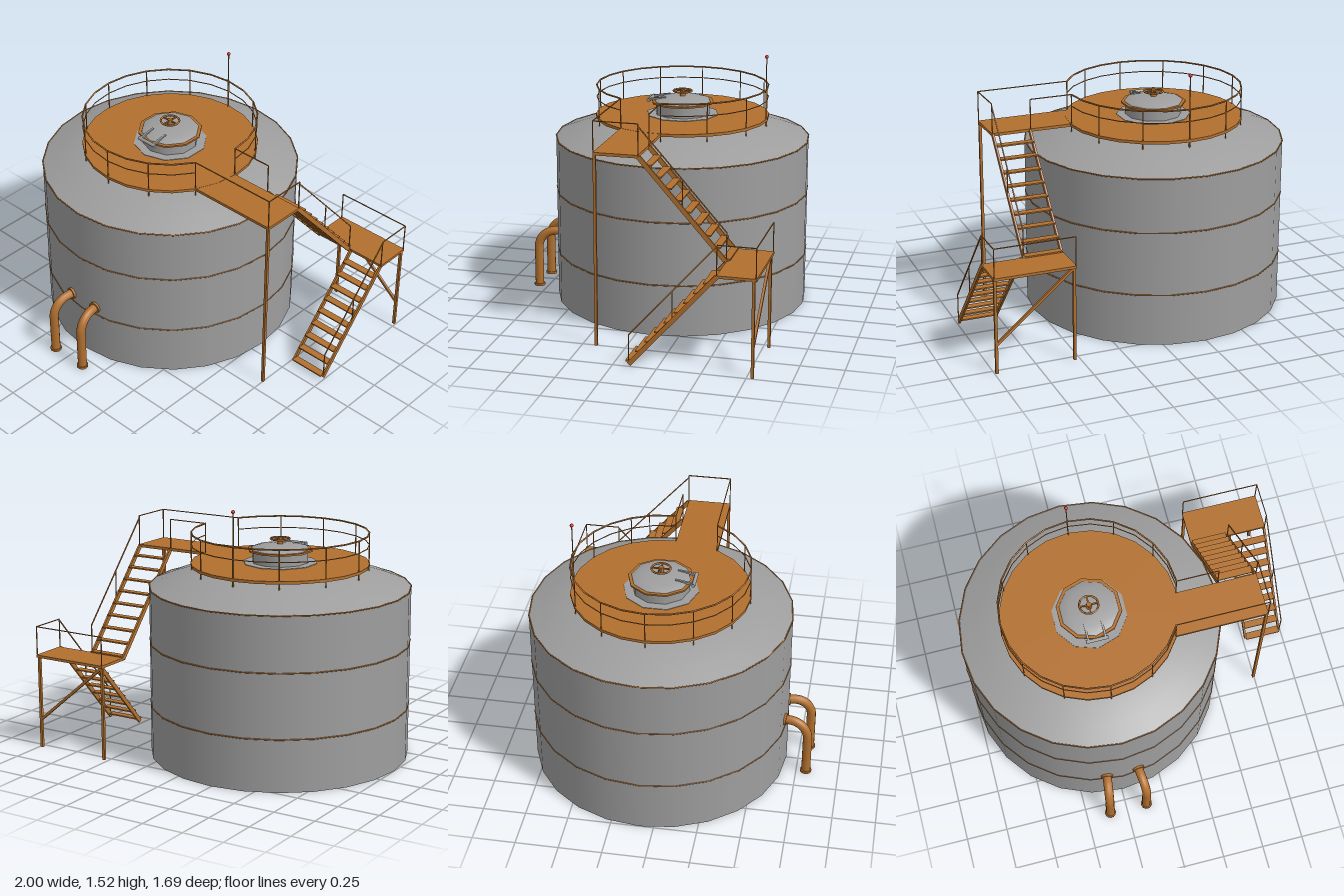
import * as THREE from 'three';

const CX = -0.24, CZ = -0.08; // tank axis
const DECK = 1.135, RAIL = 1.31, LAND = 0.57, LANDRAIL = 0.74;

export function createModel() {
  const model = new THREE.Group();
  model.name = 'storageTank';
  const grey = new THREE.MeshStandardMaterial({ color: 0x9e9e9e, side: THREE.DoubleSide });
  const orange = new THREE.MeshStandardMaterial({ color: 0xb2702e });
  const red = new THREE.MeshStandardMaterial({ color: 0xd02820 });

  const group = (name, x = 0, y = 0, z = 0) => {
    const g = new THREE.Group();
    g.name = name;
    g.position.set(x, y, z);
    model.add(g);
    return g;
  };
  const add = (parent, name, geo, mat, x = 0, y = 0, z = 0) => {
    const m = new THREE.Mesh(geo, mat);
    m.name = name;
    m.position.set(x, y, z);
    parent.add(m);
    return m;
  };
  // rectangular bar from a to b
  const beam = (parent, name, a, b, w, h = w, mat = orange) => {
    const p = new THREE.Vector3(...a), q = new THREE.Vector3(...b);
    const m = new THREE.Mesh(new THREE.BoxGeometry(w, h, p.distanceTo(q)), mat);
    m.name = name;
    m.position.copy(p).lerp(q, 0.5);
    m.lookAt(q);
    parent.add(m);
  };
  const box = (parent, name, x0, x1, y0, y1, z0, z1) =>
    add(parent, name, new THREE.BoxGeometry(x1 - x0, y1 - y0, z1 - z0), orange,
      (x0 + x1) / 2, (y0 + y1) / 2, (z0 + z1) / 2);
  const lathe = (pts, n) => new THREE.LatheGeometry(pts.map(p => new THREE.Vector2(...p)), n);
  const ring = (r, t, n, arc = Math.PI * 2) =>
    new THREE.TorusGeometry(r, t, 6, n, arc).rotateX(Math.PI / 2);

  // Tank shell, open at the bottom, with a shallow domed roof
  const tank = group('tank', CX, 0, CZ);
  add(tank, 'shell', lathe([[0.76, 0], [0.76, 1]], 24), grey);
  add(tank, 'roof', lathe([[0.76, 1], [0.65, 1.043], [0.54, 1.08], [0.43, 1.105],
    [0.3, 1.122], [0.15, 1.128], [0, 1.13]], 24), grey);
  for (const y of [0.305, 0.68, 1]) add(tank, 'band', ring(0.76, 0.004, 24), orange, 0, y, 0);

  // Round roof deck
  const deck = group('roofDeck', CX, 0, CZ);
  add(deck, 'deckPlate', new THREE.CylinderGeometry(0.519, 0.519, 0.017, 24), orange, 0, DECK - 0.0085, 0);

  // Ring railing, open where the walkway joins
  const railing = group('deckRailing', CX, 0, CZ);
  for (const [y, t] of [[RAIL, 0.005], [1.24, 0.003]])
    add(railing, 'ringRail', ring(0.513, t, 22, Math.PI * 11 / 6).rotateY(-Math.PI / 6), orange, 0, y, 0);
  for (let i = 0; i < 12; i++) {
    const a = i * Math.PI / 6, x = 0.513 * Math.cos(a), z = 0.513 * Math.sin(a);
    beam(railing, 'post', [x, 1.085, z], [x, RAIL, z], 0.005);
  }

  // Manhole on the roof with lid, hinge and handwheel
  const hatch = group('hatch', CX, 0, CZ);
  add(hatch, 'pad', new THREE.CylinderGeometry(0.218, 0.218, 0.004, 10), grey, 0, DECK + 0.001, 0);
  add(hatch, 'neck', new THREE.CylinderGeometry(0.165, 0.165, 0.08, 10, 1, true), grey, 0, 1.17, 0);
  add(hatch, 'flange', new THREE.CylinderGeometry(0.19, 0.19, 0.01, 10), orange, 0, 1.209, 0);
  add(hatch, 'lid', lathe([[0.172, 1.212], [0.168, 1.222], [0.12, 1.234], [0.06, 1.241], [0, 1.243]], 10), grey);
  for (const s of [-1, 1])
    beam(hatch, 'hingeArm', [s * 0.05, 1.236, 0.09], [s * 0.05, 1.218, 0.2], 0.012, 0.012, grey);
  add(hatch, 'hingePin', new THREE.CylinderGeometry(0.011, 0.011, 0.13, 8).rotateZ(Math.PI / 2), grey, 0, 1.216, 0.195);
  add(hatch, 'stem', new THREE.CylinderGeometry(0.014, 0.018, 0.045, 10), orange, 0, 1.26, 0);
  add(hatch, 'wheelRim', ring(0.055, 0.006, 16), orange, 0, 1.272, 0);
  beam(hatch, 'spoke', [-0.055, 1.272, 0], [0.055, 1.272, 0], 0.008);
  beam(hatch, 'spoke', [0, 1.272, -0.055], [0, 1.272, 0.055], 0.008);

  // Warning mast at the back of the deck
  const mast = group('mast', CX, 0, CZ - 0.508);
  beam(mast, 'mastPole', [0, 1.085, 0], [0, 1.5, 0], 0.005);
  add(mast, 'mastLamp', new THREE.SphereGeometry(0.011, 10, 8), red, 0, 1.505, 0);

  // Walkway from the deck to the stair head
  const walkway = group('walkway');
  box(walkway, 'walkwayPlate', 0.2, 0.755, DECK - 0.018, DECK - 0.001, -0.08, 0.178);
  beam(walkway, 'column', [0.746, 0, 0.17], [0.746, DECK - 0.01, 0.17], 0.016);
  const rails = [[[0.2, 0.176], [0.752, 0.176]], [[0.752, 0.176], [0.752, -0.08]], [[0.27, -0.08], [0.523, -0.08]]];
  for (const [a, b] of rails) {
    beam(walkway, 'rail', [a[0], RAIL, a[1]], [b[0], RAIL, b[1]], 0.005);
    beam(walkway, 'post', [b[0], DECK - 0.015, b[1]], [b[0], RAIL, b[1]], 0.005);
  }

  // Stair flight between two heights, handrail on its outer side
  const stairs = (name, x0, x1, top, bottom) => {
    const g = group(name), steps = 9, h = 0.172;
    const downhill = Math.sign(bottom[1] - top[1]);
    const at = (x, t, lift = 0) => [x,
      THREE.MathUtils.lerp(bottom[0], top[0], t) + lift, THREE.MathUtils.lerp(bottom[1], top[1], t)];
    for (const x of [x0 + 0.007, x1 - 0.007]) beam(g, 'stringer', at(x, 0), at(x, 1), 0.012, 0.026);
    for (let i = 0; i < steps; i++) {
      const [, y, centre] = at(0, (i + 0.25) / steps), z = centre + downhill * 0.012;
      box(g, 'tread', x0 + 0.01, x1 - 0.01, y - 0.004, y + 0.004, z - 0.022, z + 0.022);
    }
    beam(g, 'handrail', at(x1 - 0.004, 0, h), at(x1 - 0.004, 1, h), 0.006);
    for (const t of [0, 0.5, 1]) beam(g, 'post', at(x1 - 0.004, t), at(x1 - 0.004, t, h), 0.005);
  };
  stairs('upperStairs', 0.52, 0.756, [DECK - 0.01, -0.08], [LAND - 0.008, -0.58]);
  stairs('lowerStairs', 0.76, 0.996, [LAND - 0.008, -0.58], [0.01, -0.09]);

  // Intermediate landing on two legs with a diagonal brace
  const landing = group('landing');
  box(landing, 'landingPlate', 0.52, 0.996, LAND - 0.016, LAND, -0.8, -0.58);
  for (const x of [0.53, 0.986]) beam(landing, 'leg', [x, 0, -0.782], [x, LAND - 0.01, -0.782], 0.016);
  beam(landing, 'brace', [0.53, LAND - 0.015, -0.782], [0.986, 0.17, -0.782], 0.015);
  beam(landing, 'backRail', [0.523, LANDRAIL, -0.795], [0.992, LANDRAIL, -0.795], 0.005);
  beam(landing, 'sideRail', [0.992, LANDRAIL, -0.795], [0.992, LANDRAIL, -0.58], 0.005);
  for (const x of [0.523, 0.992]) beam(landing, 'post', [x, LAND - 0.01, -0.795], [x, LANDRAIL, -0.795], 0.005);

  // Pair of elbow pipes entering the shell radially
  for (const s of [-1, 1]) {
    const pipe = group('pipe', CX, 0, CZ);
    pipe.rotation.y = s * 0.129;
    const path = new THREE.CurvePath();
    const V = (y, z) => new THREE.Vector3(0, y, z);
    path.add(new THREE.LineCurve3(V(0, 0.895), V(0.25, 0.895)));
    path.add(new THREE.CubicBezierCurve3(V(0.25, 0.895), V(0.312, 0.895), V(0.36, 0.847), V(0.36, 0.785)));
    path.add(new THREE.LineCurve3(V(0.36, 0.785), V(0.36, 0.735)));
    add(pipe, 'elbow', new THREE.TubeGeometry(path, 32, 0.027, 12), orange);
    add(pipe, 'baseFlange', new THREE.CylinderGeometry(0.034, 0.034, 0.014, 12), orange, 0, 0.007, 0.895);
    add(pipe, 'wallFlange', new THREE.CylinderGeometry(0.036, 0.036, 0.02, 12).rotateX(Math.PI / 2), orange, 0, 0.36, 0.757);
  }
  return model;
}
